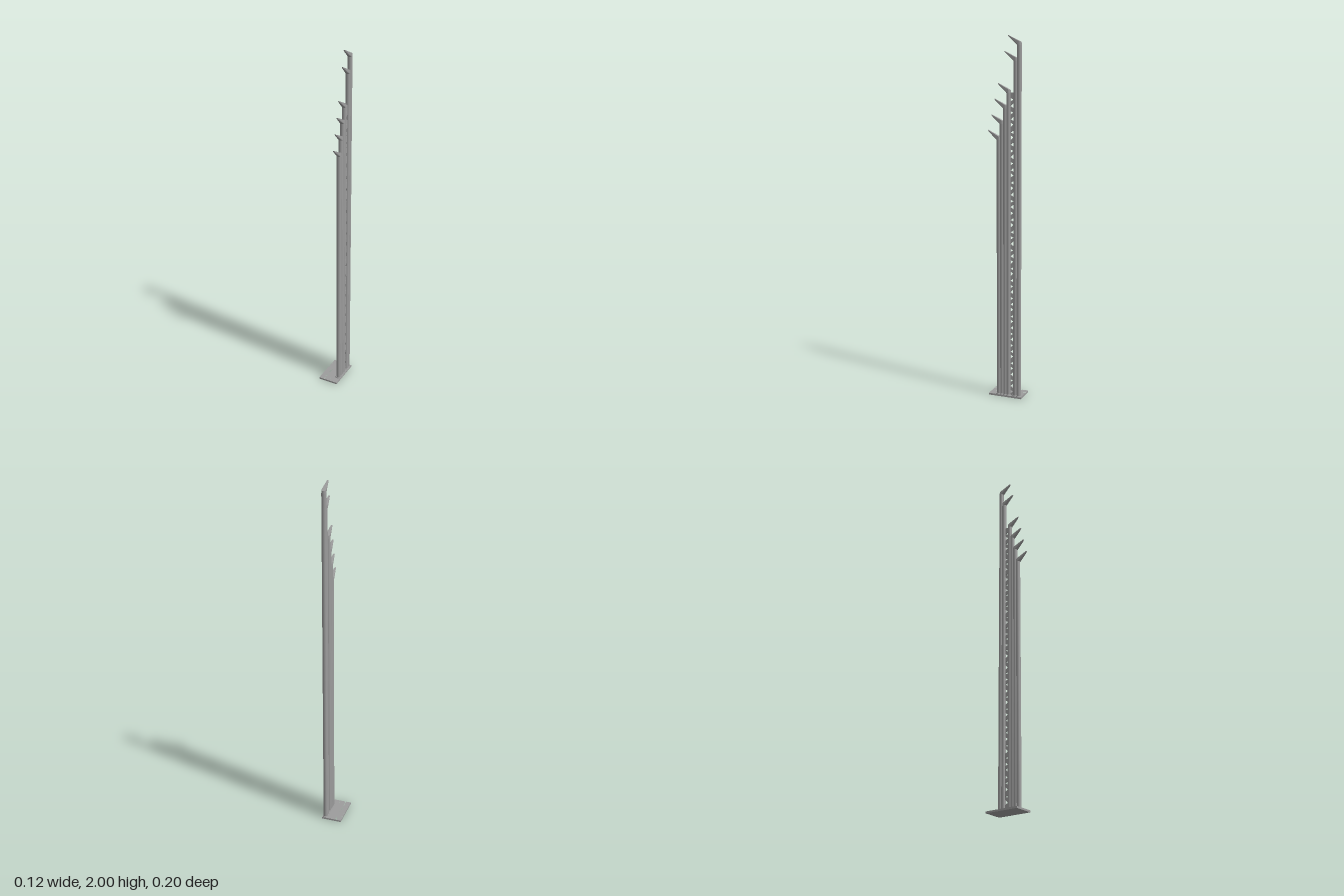
import * as THREE from 'three';
import { ConvexGeometry } from 'three/addons/geometries/ConvexGeometry.js';

const X = 0.037; // line of the posts

const grey = new THREE.MeshStandardMaterial({ color: 0x9c9c9c });
grey.name = 'grey metal';

function add(parent, name, geometry) {
  const mesh = new THREE.Mesh(geometry, grey);
  mesh.name = name;
  parent.add(mesh);
  return mesh;
}

const path = (pts) => new THREE.Path(pts.map(([a, b]) => new THREE.Vector2(a, b)));

// Horizontal ring of points
function ring(z, y, r, tilt = 0, n = 16) {
  return Array.from({ length: n }, (_, i) => {
    const a = (i / n) * Math.PI * 2;
    return new THREE.Vector3(X + r * Math.sin(a), y + tilt * Math.cos(a) * r, z + r * Math.cos(a));
  });
}

// Base: closed underneath and at the sides, with a broken top skin
function makeBase(group) {
  const [x0, x1, z0, z1, h] = [-0.062, 0.053, -0.1, 0.094, 0.01];
  const tray = new THREE.BoxGeometry(x1 - x0, h, z1 - z0);
  const index = Array.from(tray.index.array);
  index.splice(12, 6); // leave the top open
  tray.setIndex(index);
  tray.clearGroups();
  tray.translate((x0 + x1) / 2, h / 2, (z0 + z1) / 2);
  add(group, 'baseTray', tray);

  const top = new THREE.Shape([[x0, -z0], [x0, -z1], [x1, -z1], [x1, -z0]].map((p) => new THREE.Vector2(...p)));
  const gaps = [ // corners as x, z
    [[-0.037, -0.099], [-0.025, -0.099], [-0.026, -0.085], [-0.028, -0.068], [-0.033, -0.082]],
    [[-0.036, -0.008], [-0.025, -0.015], [-0.03, -0.006]],
    [[-0.036, 0.012], [-0.031, 0], [-0.027, 0.012], [-0.032, 0.026]],
    [[-0.034, 0.031], [-0.028, 0.03], [-0.031, 0.04]],
    [[-0.037, 0.06], [-0.029, 0.046], [-0.03, 0.062], [-0.034, 0.068]],
    [[-0.036, 0.093], [-0.03, 0.072], [-0.027, 0.093]],
    [[-0.061, -0.07], [-0.055, -0.062], [-0.061, -0.05]],
    [[-0.061, -0.035], [-0.055, -0.03], [-0.061, -0.026]],
    [[-0.004, 0.066], [0.007, 0.066], [0.002, 0.074]],
  ];
  for (const gap of gaps) top.holes.push(path(gap.map(([x, z]) => [x, -z])));
  const skin = new THREE.ShapeGeometry(top);
  skin.rotateX(-Math.PI / 2);
  skin.translate(0, h, 0);
  add(group, 'baseTop', skin);
}

// Round post with a foot collar and a tapering hook that points forward and up
function makePost(group, { z, top, tipZ, tipY }) {
  const post = new THREE.Group();
  post.name = 'post';
  const r = 0.0125;
  const neck = top - 0.018;
  const shaft = new THREE.CylinderGeometry(r, r, neck, 20);
  shaft.translate(X, neck / 2, z);
  add(post, 'shaft', shaft);

  const collar = new THREE.CylinderGeometry(0.016, 0.018, 0.006, 20);
  collar.translate(X, 0.012, z);
  add(post, 'collar', collar);

  add(post, 'hook', new ConvexGeometry([
    ...ring(z, neck, r),
    ...ring(z, top + 0.002, 0.0115, 0.45),
    ...ring(tipZ - 0.005, tipY - 0.003, 0.005, 0.45, 10),
    ...ring(tipZ - 0.007, tipY - 0.01, 0.004, 0.45, 10),
  ]));
  group.add(post);
}

// Thin lattice web filling the gap between the two groups of posts
function makeWeb(group) {
  const height = 1.7, za = -0.052, zb = -0.028, cell = 0.034, t = 0.006;
  const shape = new THREE.Shape([[za, 0.005], [zb, 0.005], [zb, height], [za, height]].map((p) => new THREE.Vector2(...p)));
  const l = -0.0485, r = -0.0315;
  for (let i = 0; i < 49; i++) {
    const y = 0.02 + i * cell;
    const grow = 0.022 + 0.005 * Math.sin(i * 2.3);
    const tri = i % 2
      ? [[l, y], [r, y + grow * 0.4], [l, y + grow]]
      : [[r, y], [r, y + grow], [l, y + grow * 0.6]];
    shape.holes.push(path(tri));
  }
  const web = new THREE.ExtrudeGeometry(shape, { depth: t, bevelEnabled: false });
  web.rotateY(-Math.PI / 2);
  web.translate(X + t / 2, 0, 0);
  add(group, 'latticeWeb', web);
}

export function createModel() {
  const group = new THREE.Group();
  group.name = 'hookedPostStand';
  makeBase(group);
  const posts = [
    { z: 0.037, top: 1.465, tipZ: 0.1, tipY: 1.5 },
    { z: 0.018, top: 1.55, tipZ: 0.08, tipY: 1.583 },
    { z: -0.001, top: 1.633, tipZ: 0.061, tipY: 1.667 },
    { z: -0.02, top: 1.716, tipZ: 0.042, tipY: 1.75 },
    { z: -0.061, top: 1.882, tipZ: 0.004, tipY: 1.917 },
    { z: -0.081, top: 1.965, tipZ: -0.015, tipY: 2 },
  ];
  for (const p of posts) makePost(group, p);
  makeWeb(group);
  return group;
}
